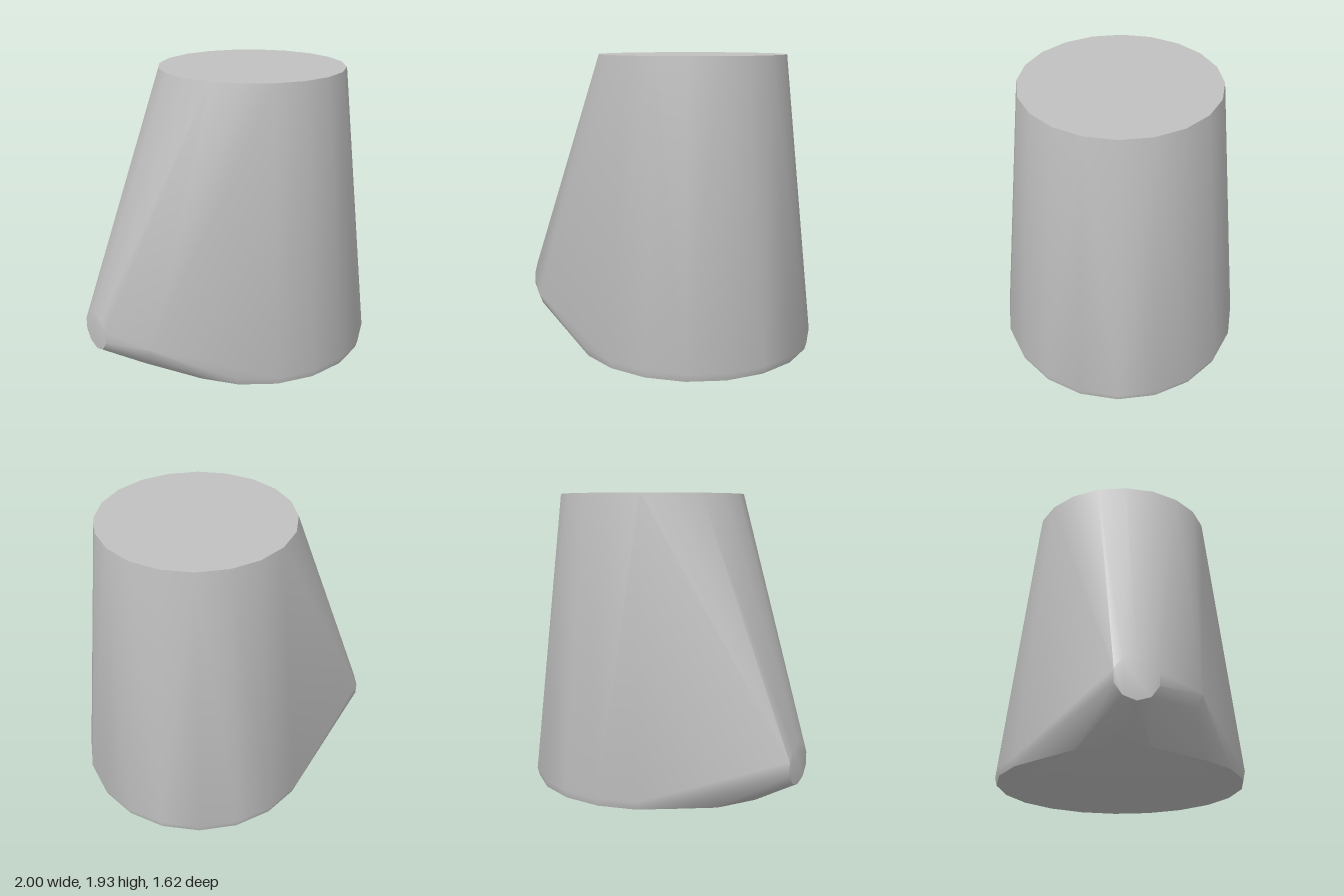
import * as THREE from 'three';
import { ConvexGeometry } from 'three/addons/geometries/ConvexGeometry.js';
import { toCreasedNormals } from 'three/addons/utils/BufferGeometryUtils.js';

// Horizontal ring of points, turned so a flat side faces +x
function ring(cx, y, radius, sides = 20) {
  return Array.from({ length: sides }, (_, i) => {
    const a = ((i + 0.5) / sides) * Math.PI * 2;
    return new THREE.Vector3(cx + radius * Math.cos(a), y, radius * Math.sin(a));
  });
}

// Upright ring of points at the blunt end of the spout
function spoutEnd(x, cy, cz, radius, sides = 10) {
  return Array.from({ length: sides }, (_, i) => {
    const a = ((i + 0.5) / sides) * Math.PI * 2;
    return new THREE.Vector3(x, cy + radius * Math.sin(a), cz + radius * Math.cos(a));
  });
}

export function createModel() {
  const group = new THREE.Group();
  group.name = 'taperedVessel';
  const grey = new THREE.MeshStandardMaterial({ color: 0xc0c0c0 });
  grey.name = 'grey';

  const points = [
    // Tapered round body with a slightly eased bottom edge
    ...ring(0.18, 1.93, 0.617),
    ...ring(0.19, 0.05, 0.818),
    ...ring(0.19, 0, 0.805),
    // Blunt spout end
    ...spoutEnd(-1, 0.29, -0.16, 0.132),
    // Shoulder in front of the spout
    new THREE.Vector3(-0.85, 0.28, 0.25),
    new THREE.Vector3(-0.84, 0.2, 0.21),
    // Base bulging out below the spout
    new THREE.Vector3(-0.58, 0, -0.42),
    new THREE.Vector3(-0.72, 0, -0.18),
    new THREE.Vector3(-0.72, 0, -0.02),
  ];

  const body = new THREE.Mesh(toCreasedNormals(new ConvexGeometry(points), 0.6), grey);
  body.name = 'bodyWithSpout';
  group.add(body);
  return group;
}
